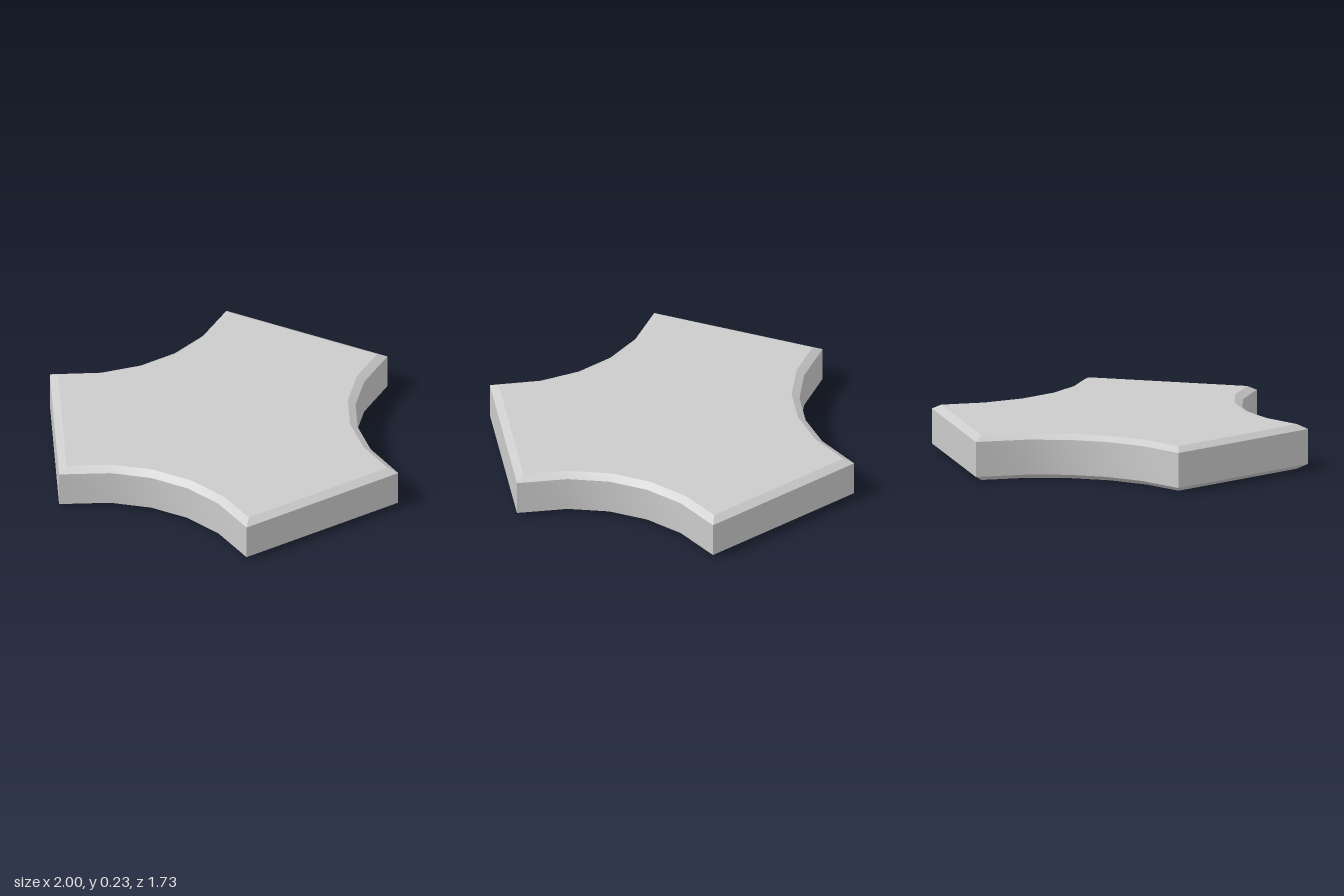
import * as THREE from 'three';
import { toCreasedNormals } from 'three/addons/utils/BufferGeometryUtils.js';

const BEVEL_WIDTH = 0.04;
const BEVEL_HEIGHT = 0.025;
const HEIGHT = 0.232;

// One concave side, from its right corner to its left corner
const HALF_SIDE = [[0.538, 0.844], [0.31, 0.714], [0.104, 0.659]];
const SIDE = [...HALF_SIDE, ...HALF_SIDE.map(([x, y]) => [-x, y]).reverse()];

// Three concave sides turned about the centre; straight arm ends join them
function outline() {
  const points = [];
  for (let i = 0; i < 3; i++) {
    const turn = (i * Math.PI * 2) / 3;
    for (const [x, y] of SIDE) {
      points.push(new THREE.Vector2(x, y).rotateAround(new THREE.Vector2(), turn));
    }
  }
  return new THREE.Shape(points);
}

export function createModel() {
  const group = new THREE.Group();
  group.name = 'threeArmedTile';

  // Flat slab with a chamfer around its top and bottom rims
  const slab = new THREE.ExtrudeGeometry(outline(), {
    depth: HEIGHT - 2 * BEVEL_HEIGHT,
    bevelEnabled: true,
    bevelSegments: 1,
    bevelSize: BEVEL_WIDTH,
    bevelOffset: -BEVEL_WIDTH,
    bevelThickness: BEVEL_HEIGHT,
  });
  slab.rotateX(-Math.PI / 2);
  slab.translate(0, BEVEL_HEIGHT, -0.022);

  // Smooth along the curved sides, sharp at corners and chamfers
  const tile = new THREE.Mesh(
    toCreasedNormals(slab, 0.45),
    new THREE.MeshStandardMaterial({ color: 0xcccccc })
  );
  tile.name = 'tile';
  group.add(tile);
  return group;
}
